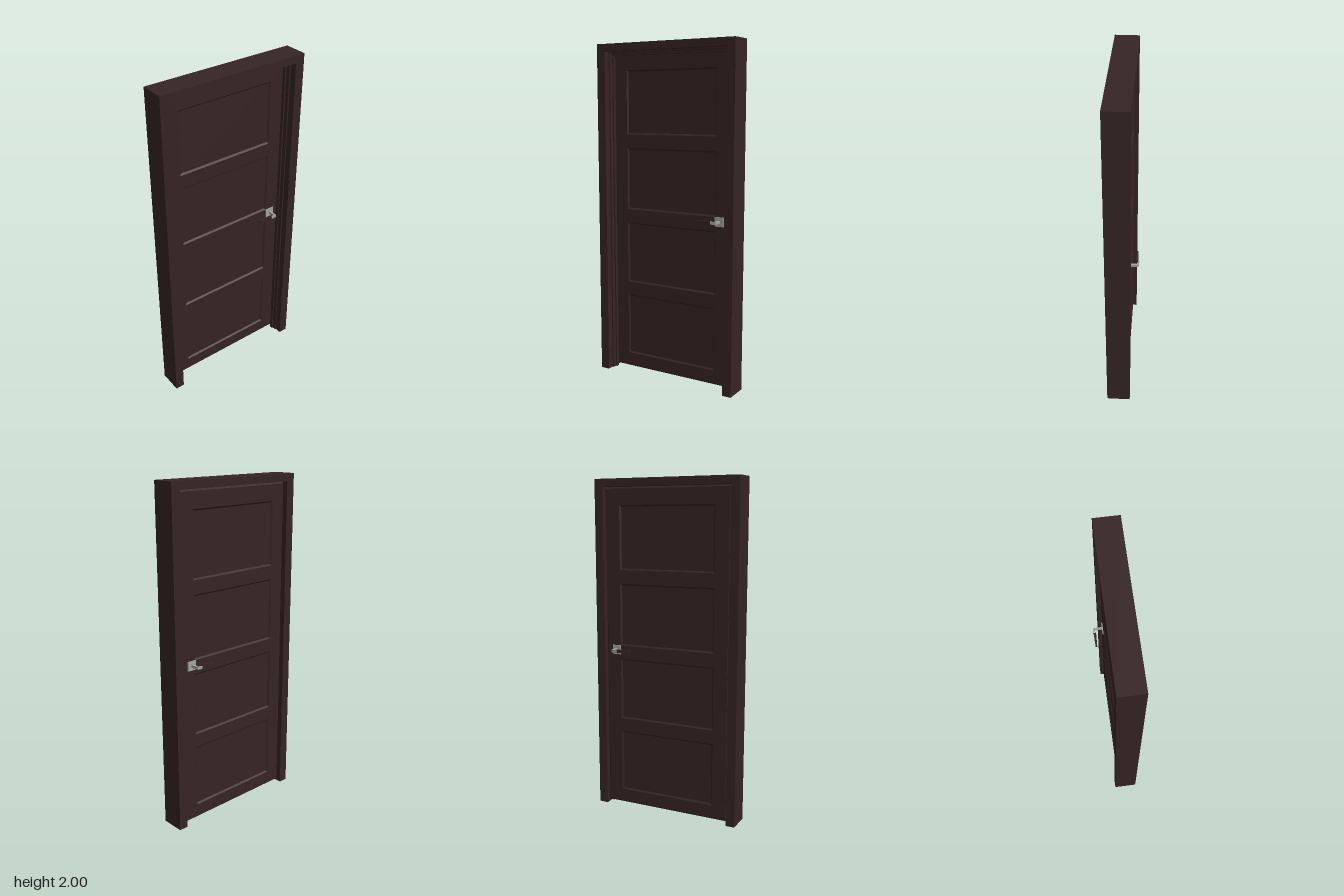
import * as THREE from 'three';

const wood = new THREE.MeshStandardMaterial({ color: 0x362424 });
wood.name = 'dark brown wood';
const metal = new THREE.MeshStandardMaterial({ color: 0xa3a39e });
metal.name = 'grey metal';

const FACE_BACK = -0.028, FACE_FRONT = 0.005; // the two faces of the door leaf
const LOCK_Y = 0.99, LOCK_Z = -0.328;

function add(parent, name, geometry, material) {
  const mesh = new THREE.Mesh(geometry, material);
  mesh.name = name;
  parent.add(mesh);
  return mesh;
}

function shapeOf(points) {
  return new THREE.Shape(points.map(([x, y]) => new THREE.Vector2(x, y)));
}

// Upside-down U that lines the doorway, from x0 to x1
function surround(outer, outerTop, inner, innerTop, x0, x1) {
  const shape = shapeOf([
    [-outer, 0], [-inner, 0], [-inner, innerTop], [inner, innerTop],
    [inner, 0], [outer, 0], [outer, outerTop], [-outer, outerTop],
  ]);
  return new THREE.ExtrudeGeometry(shape, { depth: x1 - x0, bevelEnabled: false })
    .rotateY(Math.PI / 2).translate(x0, 0, 0);
}

function rect(path, half, y0, y1) {
  path.moveTo(-half, y0).lineTo(half, y0).lineTo(half, y1).lineTo(-half, y1).closePath();
  return path;
}

// Plan-view outline, points as [x, z], raised to a height around the lock
function plan(points, height) {
  const shape = shapeOf(points.map(([x, z]) => [x, -z]));
  return new THREE.ExtrudeGeometry(shape, { depth: height, bevelEnabled: false })
    .rotateX(-Math.PI / 2).translate(0, LOCK_Y - height / 2, 0);
}

function createHandle(name, faceX, dir) {
  const handle = new THREE.Group();
  handle.name = name;
  const out = (points) => points.map(([d, z]) => [faceX + dir * d, z]);
  const plate = new THREE.BoxGeometry(0.006, 0.055, 0.055);
  add(handle, 'backPlate', plate.translate(faceX + dir * 0.003, LOCK_Y, LOCK_Z), metal);
  add(handle, 'neck', plan(out([
    [0, -0.334], [0.06, -0.333], [0.064, -0.301], [0.057, -0.301], [0.052, -0.323], [0, -0.323],
  ]), 0.016), metal);
  add(handle, 'grip', plan(out([
    [0.059, -0.301], [0.044, -0.301], [0.047, -0.214], [0.057, -0.214],
  ]), 0.018), wood);
  return handle;
}

export function createModel() {
  const door = new THREE.Group();
  door.name = 'door';

  // Fixed frame with two stepped stops in front of the leaf
  const frame = new THREE.Group();
  frame.name = 'doorFrame';
  door.add(frame);
  add(frame, 'jambs', surround(0.455, 2, 0.4, 1.955, -0.05, 0.09), wood);
  add(frame, 'outerStop', surround(0.4, 1.955, 0.392, 1.945, FACE_FRONT, 0.05), wood);
  add(frame, 'innerStop', surround(0.392, 1.945, 0.384, 1.933, FACE_FRONT, 0.025), wood);

  // Leaf with four openings, their edges sloping in to the recessed panels
  const leaf = new THREE.Group();
  leaf.name = 'doorLeaf';
  door.add(leaf);
  const panels = [[0.11, 0.47], [0.57, 0.925], [1.025, 1.38], [1.48, 1.84]];
  const slope = 0.009;
  const outline = rect(new THREE.Shape(), 0.398, 0.015, 1.952);
  for (const [y0, y1] of panels) outline.holes.push(rect(new THREE.Path(), 0.294, y0, y1));
  const thickness = FACE_FRONT - FACE_BACK;
  const boards = new THREE.ExtrudeGeometry(outline, {
    depth: thickness - 2 * slope, bevelEnabled: true, bevelSegments: 1,
    bevelThickness: slope, bevelSize: slope, bevelOffset: -slope,
  });
  boards.rotateY(Math.PI / 2).translate(FACE_BACK + slope, 0, 0);
  add(leaf, 'stilesAndRails', boards, wood);
  for (const [y0, y1] of panels) {
    const panel = new THREE.BoxGeometry(thickness - 2 * slope, y1 - y0 + 0.02, 0.6);
    panel.translate((FACE_BACK + FACE_FRONT) / 2, (y0 + y1) / 2, 0);
    add(leaf, 'panel', panel, wood);
  }

  // A lever handle on each face
  door.add(createHandle('backHandle', FACE_BACK, -1));
  door.add(createHandle('frontHandle', FACE_FRONT, 1));

  // Centre the whole depth, handle included
  const box = new THREE.Box3().setFromObject(door);
  const shift = -(box.min.x + box.max.x) / 2;
  for (const child of door.children) child.position.x += shift;
  return door;
}
